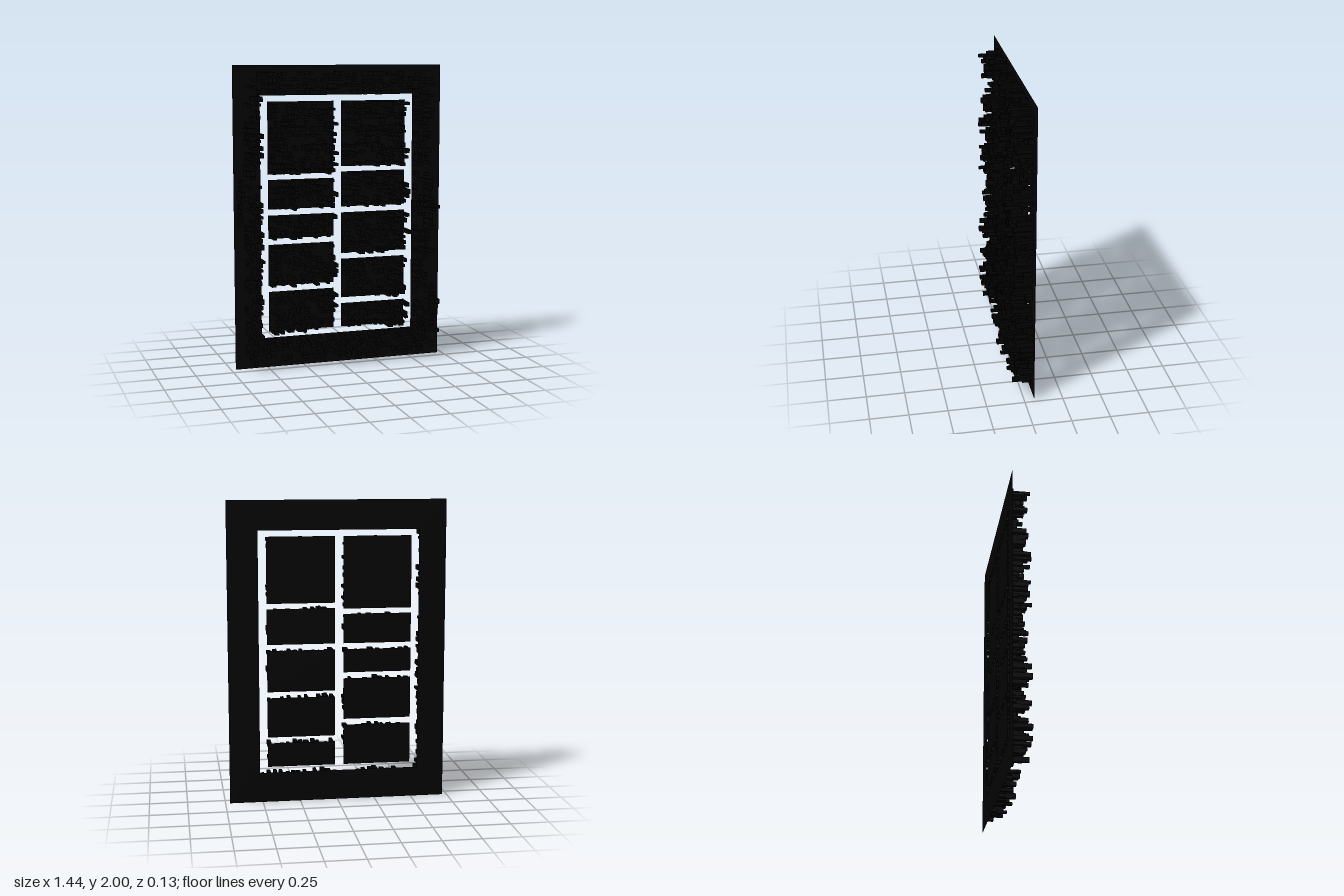
import * as THREE from 'three';
import { mergeGeometries } from 'three/addons/utils/BufferGeometryUtils.js';

const BACK = -0.067, DEPTH = 0.134, PITCH = 0.04;
const OPENING = [-0.54, 0.518, 0.2, 1.805]; // x0, x1, y0, y1

// Small seeded random generator
function seeded(seed) {
  return () => {
    seed = (seed * 1664525 + 1013904223) % 4294967296;
    return seed / 4294967296;
  };
}

function rectangle(path, [x0, x1, y0, y1]) {
  path.moveTo(x0, y0);
  path.lineTo(x1, y0);
  path.lineTo(x1, y1);
  path.lineTo(x0, y1);
  path.closePath();
  return path;
}

// Jittered grid of blocks of varied size and depth, with some cells left empty
function blockField([x0, x1, y0, y1], random, fill) {
  const blocks = [];
  const cols = Math.max(1, Math.round((x1 - x0) / PITCH));
  const rows = Math.max(1, Math.round((y1 - y0) / PITCH));
  const cw = (x1 - x0) / cols, ch = (y1 - y0) / rows;
  for (let i = 0; i < cols; i++) {
    for (let j = 0; j < rows; j++) {
      if (random() > fill) continue;
      const w = cw * (0.4 + 0.45 * random());
      const h = ch * (0.4 + 0.45 * random());
      const d = DEPTH * (0.2 + 0.8 * random());
      const x = x0 + cw * i + w / 2 + (cw - w) * random();
      const y = y0 + ch * j + h / 2 + (ch - h) * random();
      blocks.push(new THREE.BoxGeometry(w, h, d).translate(x, y, BACK + d / 2));
    }
  }
  return blocks;
}

export function createModel() {
  const model = new THREE.Group();
  const random = seeded(17);
  const plateMaterial = new THREE.MeshStandardMaterial({ color: 0x030303, side: THREE.DoubleSide });
  const blockMaterial = new THREE.MeshStandardMaterial({ color: 0x030303 });

  // One thin backing plate with its blocks; each field is [area, fill]
  function section(name, shape, fields) {
    const group = new THREE.Group();
    group.name = name;
    const plate = new THREE.Mesh(new THREE.ShapeGeometry(shape).translate(0, 0, BACK), plateMaterial);
    plate.name = 'backingPlate';
    const blocks = new THREE.Mesh(
      mergeGeometries(fields.flatMap(([area, fill]) => blockField(area, random, fill))), blockMaterial);
    blocks.name = 'blocks';
    group.add(plate, blocks);
    model.add(group);
  }

  // Outer frame: small clusters at the side edges, then four bands around the opening
  const frame = rectangle(new THREE.Shape(), [-0.72, 0.72, 0, 2]);
  frame.holes.push(rectangle(new THREE.Path(), OPENING));
  const [ox0, ox1, oy0, oy1] = OPENING;
  section('frame', frame, [
    [[-0.7, -0.665, 0.96, 1.28], 0.8],
    [[0.645, 0.69, 0.16, 0.5], 0.8],
    [[0.645, 0.69, 1, 1.1], 0.8],
    [[-0.655, ox0, oy0, oy1], 0.75],
    [[ox1, 0.64, oy0, oy1], 0.75],
    [[-0.655, 0.64, 0.04, oy0], 0.75],
    [[-0.655, 0.64, oy1, 1.96], 0.75],
  ]);

  // Two columns of panels inside the opening
  const columns = [
    { name: 'rightPanel', x: [-0.49, -0.04],
      rows: [[1.29, 1.765], [1.06, 1.255], [0.865, 1.02], [0.55, 0.825], [0.24, 0.51]] },
    { name: 'leftPanel', x: [0.015, 0.465],
      rows: [[1.33, 1.765], [1.06, 1.295], [0.745, 1.02], [0.44, 0.705], [0.24, 0.4]] },
  ];
  for (const { name, x, rows } of columns) {
    rows.forEach((y, i) => {
      const area = [...x, ...y];
      section(name + (i + 1), rectangle(new THREE.Shape(), area), [[area, 0.75]]);
    });
  }
  return model;
}
